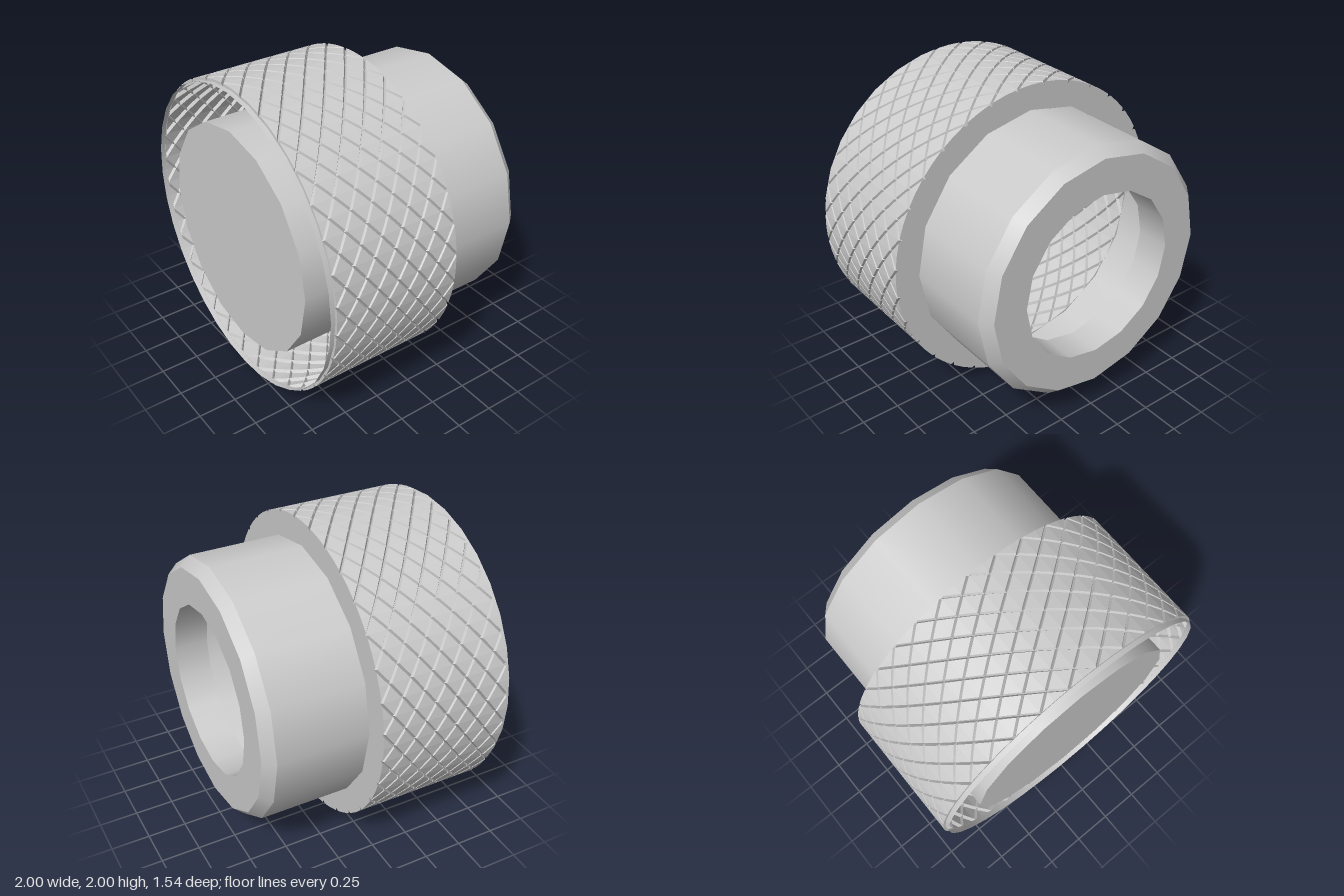
import * as THREE from 'three';
import { mergeGeometries } from 'three/addons/utils/BufferGeometryUtils.js';

const material = new THREE.MeshStandardMaterial({ color: 0xcccccc, side: THREE.DoubleSide });

// Turned part about the z axis; each [radius, z] profile segment keeps a sharp edge to the next.
function turned(name, profile, sides) {
  const bands = [];
  for (let i = 0; i < profile.length - 1; i++) {
    const pts = [profile[i], profile[i + 1]].map(([r, z]) => new THREE.Vector2(r, z));
    bands.push(new THREE.LatheGeometry(pts, sides));
  }
  const mesh = new THREE.Mesh(mergeGeometries(bands).rotateX(Math.PI / 2), material);
  mesh.name = name;
  return mesh;
}

// Sleeve of raised lozenges separated by crossing grooves.
function knurledSleeve(zBack, zFront, around, rows) {
  const pos = [], index = [];
  const dA = Math.PI / around, dZ = (zFront - zBack) / rows / 2;
  const rGroove = 0.98, rTop = 1.0, inset = 0.86;
  const add = (a, z, r) => {
    pos.push(r * Math.cos(a), r * Math.sin(a), THREE.MathUtils.clamp(z, zBack, zFront));
  };
  for (let row = 0; row <= rows * 2; row++) {
    for (let col = 0; col < around; col++) {
      const a = (col * 2 + (row % 2)) * dA, z = zBack + row * dZ;
      const base = pos.length / 3;
      for (const [r, k] of [[rGroove, 1], [rTop, inset]]) {
        add(a + dA * k, z, r);
        add(a, z + dZ * k, r);
        add(a - dA * k, z, r);
        add(a, z - dZ * k, r);
      }
      // flat top, split along the axis so it follows the curve, then four groove flanks
      index.push(base + 4, base + 7, base + 5, base + 6, base + 5, base + 7);
      for (let i = 0; i < 4; i++) {
        const j = (i + 1) % 4;
        index.push(base + i, base + 4 + i, base + j, base + j, base + 4 + i, base + 4 + j);
      }
    }
  }
  const indexed = new THREE.BufferGeometry();
  indexed.setAttribute('position', new THREE.Float32BufferAttribute(pos, 3));
  indexed.setIndex(index);
  const geometry = indexed.toNonIndexed();
  geometry.computeVertexNormals();
  const mesh = new THREE.Mesh(geometry, material);
  mesh.name = 'knurledSleeve';
  return mesh;
}

export function createModel() {
  const group = new THREE.Group();
  group.name = 'knurledKnob';

  // grip and its plain front lip
  group.add(knurledSleeve(-0.11, 0.74, 32, 6));
  group.add(turned('frontLip', [[0.985, 0.735], [0.985, 0.77]], 32));

  // hollow rear collar: short bore, end face, bevel, wall
  group.add(turned('rearCollar', [
    [0.55, -0.55], [0.55, -0.77], [0.78, -0.77], [0.84, -0.7], [0.84, -0.11],
  ], 16));
  // shoulder closing the back of the grip
  group.add(turned('shoulder', [[0.825, -0.11], [0.985, -0.11]], 32));

  // cap standing inside the open front
  group.add(turned('frontCap', [[0.74, 0.36], [0.74, 0.77], [0, 0.77]], 16));

  // stand on the ground
  group.children.forEach((part) => { part.position.y = 1; });
  return group;
}
